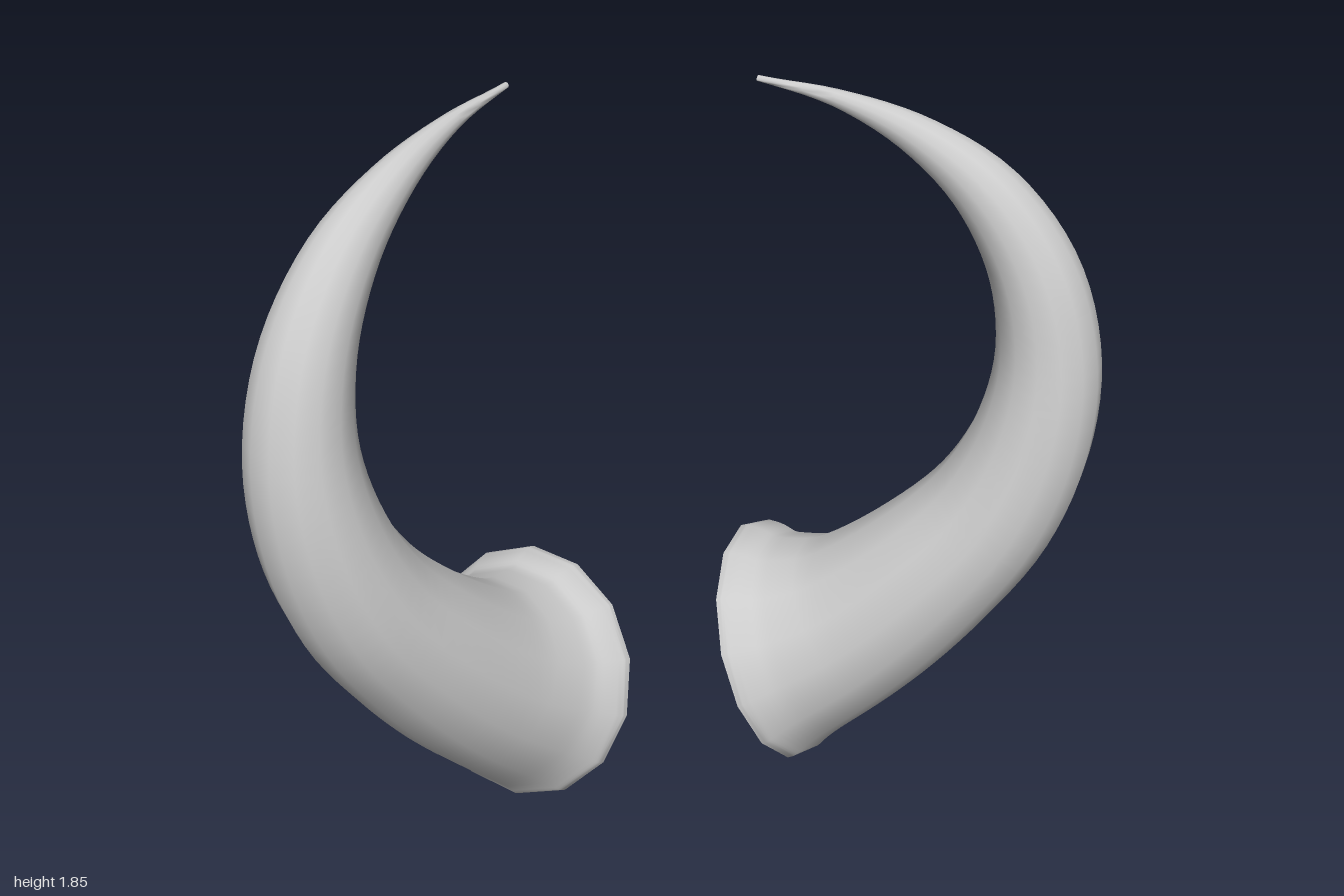
import * as THREE from 'three';
import { toCreasedNormals } from 'three/addons/utils/BufferGeometryUtils.js';

const SIDES = 14, STEPS = 64;

// Centre line and radius: x, y, z, r from the flared base to the tip
const SPINE = [
  [0.338, 0.285, -0.12, 0.314],
  [0.358, 0.297, -0.105, 0.307],
  [0.41, 0.331, -0.063, 0.266],
  [0.51, 0.425, 0.018, 0.222],
  [0.65, 0.6, 0.112, 0.189],
  [0.775, 0.79, 0.178, 0.164],
  [0.85, 0.99, 0.203, 0.144],
  [0.875, 1.2, 0.197, 0.124],
  [0.837, 1.41, 0.16, 0.105],
  [0.74, 1.585, 0.088, 0.08],
  [0.605, 1.7, -0.012, 0.049],
  [0.455, 1.762, -0.132, 0.022],
  [0.3, 1.783, -0.26, 0.007],
];

// Sweeps a tapering round section along the spine; side = -1 mirrors it in x
function hornGeometry(side) {
  const path = new THREE.CatmullRomCurve3(SPINE.map(p => new THREE.Vector3(p[0], p[1], p[2])));
  const radius = new THREE.SplineCurve(SPINE.map((p, i) => new THREE.Vector2(i, p[3])));
  const planeNormal = new THREE.Vector3(0.6, 0, -0.8);
  const baseDirection = new THREE.Vector3(0.725, 0.41, 0.55).normalize();

  // Stations along the horn, with zero-radius ends that close the base and tip
  const stations = [[0, 0]];
  for (let i = 0; i <= STEPS; i++) stations.push([i / STEPS, radius.getPoint(i / STEPS).y]);
  stations.push([1, 0]);

  const positions = [], index = [];
  stations.forEach(([t, r], i) => {
    const c = path.getPoint(t);
    const T = path.getTangent(t).lerp(baseDirection, Math.max(0, 1 - t * 4)).normalize();
    const N = planeNormal.clone().cross(T).normalize();
    const B = T.clone().cross(N);
    for (let j = 0; j < SIDES; j++) {
      const a = ((j + 0.5) / SIDES) * Math.PI * 2;
      const p = c.clone().addScaledVector(N, r * Math.cos(a)).addScaledVector(B, r * Math.sin(a));
      positions.push(p.x * side, p.y, p.z);
      if (i === stations.length - 1) continue;
      const k = (j + 1) % SIDES;
      const q = [i * SIDES + j, i * SIDES + k, (i + 1) * SIDES + j, (i + 1) * SIDES + k];
      const tris = [];
      if (i > 0) tris.push([q[0], q[1], q[2]]);
      if (i < stations.length - 2) tris.push([q[1], q[3], q[2]]);
      for (const [u, v, w] of tris) index.push(...(side > 0 ? [u, v, w] : [u, w, v]));
    }
  });

  const geometry = new THREE.BufferGeometry();
  geometry.setAttribute('position', new THREE.Float32BufferAttribute(positions, 3));
  geometry.setIndex(index);
  return toCreasedNormals(geometry, 1.0);
}

export function createModel() {
  const group = new THREE.Group();
  group.name = 'hornPair';
  const material = new THREE.MeshStandardMaterial({ color: 0xcccccc });

  const leftHorn = new THREE.Mesh(hornGeometry(1), material);
  leftHorn.name = 'leftHorn';

  // The right horn sits slightly higher and further forward
  const rightHorn = new THREE.Mesh(hornGeometry(-1), material);
  rightHorn.name = 'rightHorn';
  rightHorn.position.set(0, 0.063, 0.033);

  group.add(leftHorn, rightHorn);
  return group;
}
